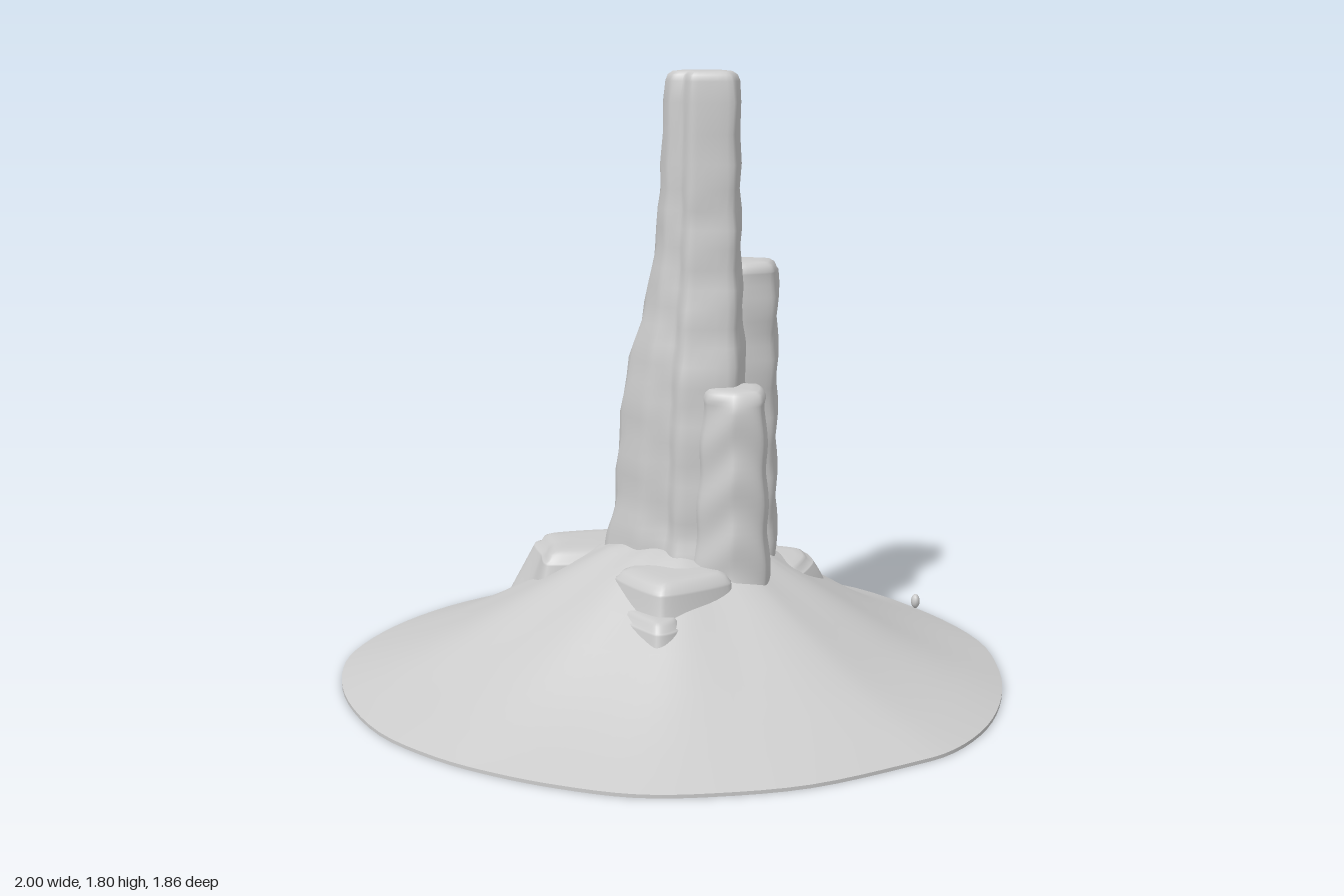
import * as THREE from 'three';
import { toCreasedNormals } from 'three/addons/utils/BufferGeometryUtils.js';

const material = new THREE.MeshStandardMaterial({ color: 0xcccccc });

// Closed outline [x, z] resampled with softly rounded corners
function outline(points, count, tension) {
  const curve = new THREE.CatmullRomCurve3(
    points.map(([x, z]) => new THREE.Vector3(x, 0, z)), true, 'catmullrom', tension);
  const ring = [];
  const per = count / points.length;
  for (let i = 0; i < points.length * Math.round(per); i++) {
    ring.push(curve.getPoint(i / (points.length * Math.round(per))));
  }
  return ring;
}

// Skin over rings listed bottom to top, closed at both ends
function loft(rings) {
  const n = rings[0].length;
  const pos = [];
  const index = [];
  rings.forEach(r => r.forEach(p => pos.push(p.x, p.y, p.z)));
  for (let j = 0; j < rings.length - 1; j++) {
    for (let i = 0; i < n; i++) {
      const a = j * n + i, b = j * n + (i + 1) % n;
      index.push(a, a + n, b, b, a + n, b + n);
    }
  }
  const cap = (j, up) => {
    const c = rings[j].reduce((s, p) => s.add(p), new THREE.Vector3()).divideScalar(n);
    const k = pos.length / 3;
    pos.push(c.x, c.y, c.z);
    for (let i = 0; i < n; i++) {
      const a = j * n + i, b = j * n + (i + 1) % n;
      if (up) index.push(a, k, b); else index.push(a, b, k);
    }
  };
  cap(0, false);
  cap(rings.length - 1, true);
  const geo = new THREE.BufferGeometry();
  geo.setAttribute('position', new THREE.Float32BufferAttribute(pos, 3));
  geo.setIndex(index);
  geo.computeVertexNormals();
  return geo;
}

function addMesh(group, name, geo) {
  const mesh = new THREE.Mesh(geo, material);
  mesh.name = name;
  group.add(mesh);
}

// Rock column: blends a top outline into a base outline; levels are [y, blend], bottom to top
function rock(group, name, top, base, levels, round = 0.03, wobble = 0.004) {
  const area = top.reduce((s, p, i) => {
    const q = top[(i + 1) % top.length];
    return s + p[0] * q[1] - q[0] * p[1];
  }, 0);
  if (area < 0) { top = [...top].reverse(); base = [...base].reverse(); }
  const a = outline(top, 48, 0.3), b = outline(base, 48, 0.3);
  const curve = new THREE.CatmullRomCurve3(
    levels.map(([y, t]) => new THREE.Vector3(t, y, 0)), false, 'centripetal');
  const center = a.reduce((s, p) => s.add(p), new THREE.Vector3()).divideScalar(a.length);
  const rings = [];
  const steps = 28;
  const yTop = levels[levels.length - 1][0];
  for (let j = 0; j <= steps; j++) {
    const { x: t, y } = curve.getPoint(j / steps);
    if (y > yTop - round && j < steps) continue;
    rings.push(a.map((p, i) => {
      const v = p.clone().lerp(b[i], t);
      const dir = v.clone().sub(center).normalize();
      v.addScaledVector(dir, wobble * Math.sin(y * 34 + Math.sin(i * 0.26) * 1.6));
      v.y = j === steps ? y - round : y;
      return v;
    }));
  }
  // Rounded shoulder
  const last = rings[rings.length - 1];
  for (const [inset, h] of [[0.07, 0.6], [0.2, 0.9], [0.45, 1]]) {
    rings.push(last.map(p => new THREE.Vector3(
      p.x + (center.x - p.x) * inset, yTop - round + round * h, p.z + (center.z - p.z) * inset)));
  }
  addMesh(group, name, loft(rings));
}

export function createModel() {
  const group = new THREE.Group();
  group.name = 'rockSpire';

  // Talus slope with an uneven rim
  const rim = outline([
    [0.995, -0.08], [0.985, 0.15], [0.93, 0.37], [0.83, 0.55], [0.7, 0.66], [0.45, 0.82],
    [0.2, 0.9], [0, 0.925], [-0.2, 0.89], [-0.38, 0.83], [-0.56, 0.74], [-0.75, 0.59],
    [-0.9, 0.37], [-0.98, 0.15], [-0.995, -0.05], [-0.93, -0.29], [-0.8, -0.51], [-0.62, -0.69],
    [-0.43, -0.83], [-0.2, -0.93], [-0.02, -0.905], [0.03, -0.928], [0.33, -0.928], [0.56, -0.85],
    [0.8, -0.6], [0.95, -0.34]], 104, 0.5);
  const slope = [[1, 0], [1, 0.01], [0.88, 0.05], [0.76, 0.095], [0.64, 0.152], [0.52, 0.22],
    [0.4, 0.288], [0.3, 0.345], [0.22, 0.39], [0.1, 0.42]];
  addMesh(group, 'talusSlope', toCreasedNormals(loft(slope.map(([f, y]) => rim.map(p => {
    const angle = Math.atan2(p.z, p.x);
    const gully = 0.006 * Math.sin(angle * 9 + 1) * Math.sin(Math.PI * f) * (f < 1 ? 1 : 0);
    return new THREE.Vector3(0.04 + (p.x - 0.04) * f, y + gully, -0.03 + (p.z + 0.03) * f);
  }))), 0.7));

  // Main spire
  rock(group, 'mainSpire',
    [[-0.02, -0.07], [0.05, -0.12], [0.09, -0.105], [0.18, -0.1], [0.2, -0.03], [0.185, 0.045],
      [0.07, 0.06], [0.04, 0.025], [0, 0.01]],
    [[-0.17, -0.06], [-0.08, -0.16], [0.04, -0.17], [0.17, -0.17], [0.23, -0.04], [0.2, 0.11],
      [0.04, 0.13], [0, 0.08], [-0.08, 0.06]],
    [[0.3, 1.35], [0.4, 1.2], [0.5, 1.05], [0.7, 0.95], [0.9, 0.8], [1.1, 0.45], [1.3, 0.2],
      [1.5, 0.1], [1.805, 0]]);

  // Tall shoulder behind
  rock(group, 'tallShoulder',
    [[0.06, -0.15], [0.13, -0.185], [0.24, -0.195], [0.305, -0.18], [0.3, -0.07], [0.2, -0.02], [0.1, -0.05]],
    [[0.02, -0.18], [0.12, -0.22], [0.25, -0.22], [0.31, -0.2], [0.305, -0.06], [0.2, 0], [0.1, -0.05]],
    [[0.25, 1.3], [0.4, 0.8], [0.7, 0.2], [1.0, 0.15], [1.25, 0]]);

  // Front shoulder
  rock(group, 'frontShoulder',
    [[0.27, 0], [0.28, 0.15], [0.2, 0.18], [0.12, 0.14], [0.1, 0.02]],
    [[0.29, 0], [0.3, 0.16], [0.2, 0.205], [0.08, 0.16], [0.06, 0.02]],
    [[0.25, 1.1], [0.45, 0.6], [0.7, 0.3], [0.905, 0]]);

  // Low stump at the back
  rock(group, 'backStump',
    [[0.11, -0.21], [0.195, -0.28], [0.12, -0.355], [0.035, -0.29]],
    [[0.11, -0.16], [0.23, -0.27], [0.12, -0.39], [0, -0.3]],
    [[0.2, 1.1], [0.35, 0.7], [0.5, 0.3], [0.6, 0]]);

  // Slope ledges
  rock(group, 'rightLedge',
    [[-0.43, -0.27], [-0.17, -0.35], [-0.1, -0.15], [-0.2, -0.07], [-0.37, -0.03], [-0.4, -0.13]],
    [[-0.52, -0.25], [-0.15, -0.39], [-0.1, -0.15], [-0.2, -0.02], [-0.4, 0.01], [-0.46, -0.1]],
    [[0.15, 1.2], [0.27, 0.5], [0.355, 0]], 0.03, 0);
  rock(group, 'frontUpperLedge',
    [[-0.13, 0.2], [0.01, 0.35], [0.19, 0.22], [0.14, 0.1], [-0.05, 0.1]],
    [[-0.19, 0.2], [0.01, 0.4], [0.23, 0.23], [0.14, 0.1], [-0.05, 0.1]],
    [[0.2, 1], [0.3, 0.4], [0.385, 0]], 0.025, 0);
  rock(group, 'frontLowerLedge',
    [[-0.17, 0.22], [0, 0.43], [0.06, 0.38], [0.05, 0.2]],
    [[-0.22, 0.24], [0, 0.47], [0.1, 0.4], [0.05, 0.2]],
    [[0.15, 1], [0.22, 0.5], [0.295, 0]], 0.025, 0);
  rock(group, 'leftLedge',
    [[0.24, -0.3], [0.38, -0.28], [0.41, -0.18], [0.37, -0.04], [0.22, -0.05]],
    [[0.22, -0.35], [0.43, -0.32], [0.48, -0.2], [0.41, 0], [0.22, 0]],
    [[0.2, 1], [0.27, 0.5], [0.325, 0]], 0.02, 0);

  // Loose pebble
  const pebble = new THREE.SphereGeometry(0.018, 12, 8);
  pebble.scale(0.8, 1.3, 1);
  pebble.translate(0.755, 0.078, -0.515);
  addMesh(group, 'pebble', pebble);

  return group;
}
